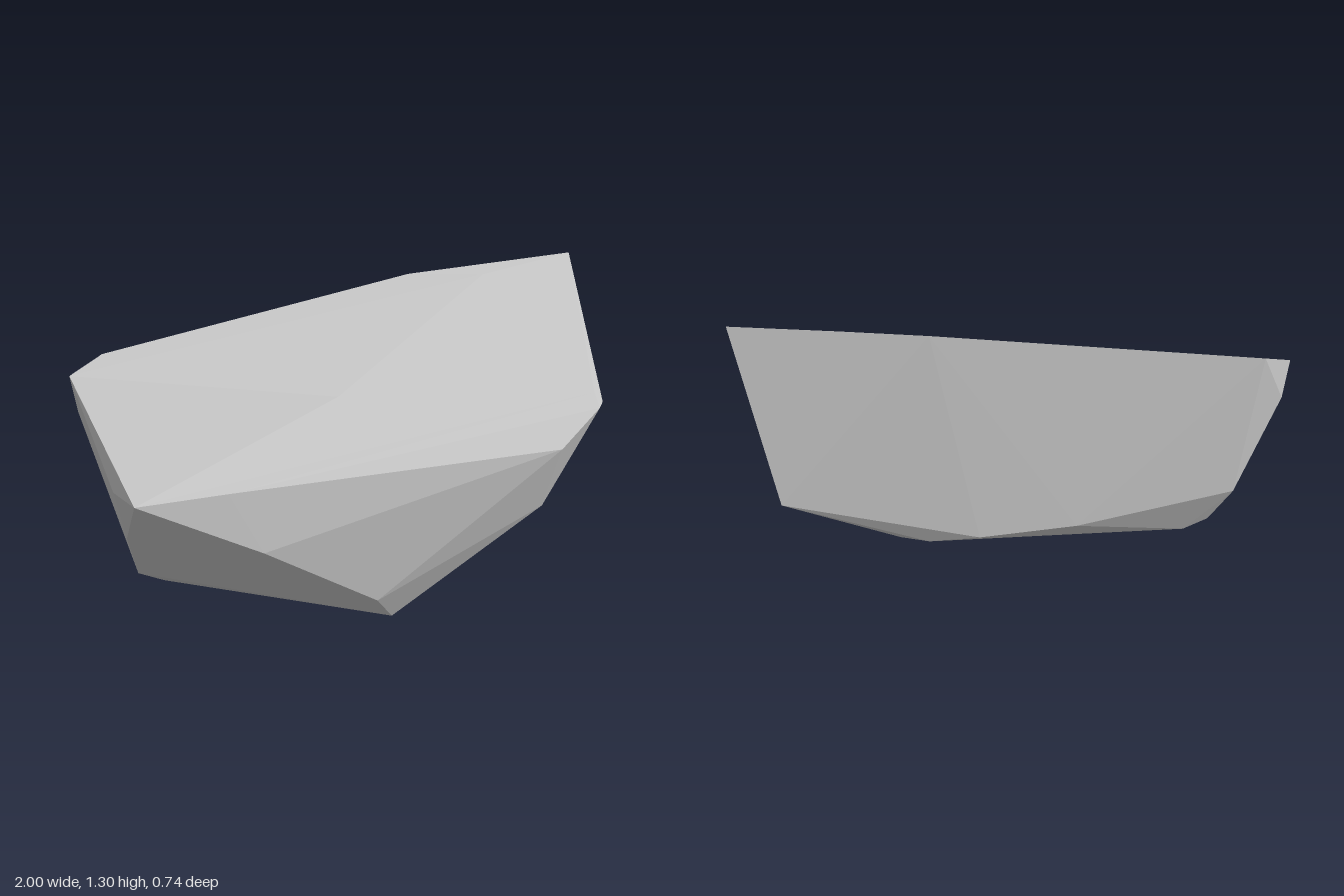
import * as THREE from 'three';
import { ConvexGeometry } from 'three/addons/geometries/ConvexGeometry.js';

export function createModel() {
  const group = new THREE.Group();
  group.name = 'rock';
  const stone = new THREE.MeshStandardMaterial({ color: 0xc4c4c4 });
  stone.name = 'pale grey stone';

  // Corners of the boulder, grouped by region
  const top = [
    [1.0, 1.3, -0.29], [0.985, 1.19, -0.24], [0.63, 1.22, -0.275],
    [0.35, 1.22, -0.37], [-0.87, 0.94, -0.35], [-1.0, 0.87, -0.28],
  ];
  const front = [
    [0.87, 0.825, 0.3], [0.9, 0.79, 0.31], [0.88, 0.77, 0.33],
    [0.72, 0.63, 0.37], [0.67, 0.41, 0.31], [-0.05, 0.81, 0.08],
    [0.17, 0.66, 0.26], [-0.49, 0.5, 0.23], [-0.82, 0.46, 0.19],
    [-0.37, 0.285, 0.27], [0.05, 0.08, 0.275],
  ];
  const leftSide = [
    [0.885, 0.555, -0.305], [0.88, 0.56, -0.09], [0.79, 0.45, 0.13],
    [0.64, 0.33, 0.155], [0.66, 0.34, -0.1],
  ];
  const rightSide = [[-0.97, 0.73, -0.31], [-0.88, 0.49, 0.06], [-0.83, 0.3, 0]];
  const back = [
    [-0.815, 0.325, -0.315], [-0.19, 0.29, -0.34], [0.18, 0.3, -0.335],
    [0.36, 0.275, -0.285], [0.45, 0.22, -0.17],
  ];
  const base = [
    [0.12, 0, 0.22], [0.19, 0.02, 0.15], [0.225, 0.045, 0.04],
    [-0.03, 0.025, 0.05], [-0.67, 0.075, -0.2], [-0.77, 0.11, -0.2],
  ];

  // Faceted skin stretched over the corners
  const points = [top, front, leftSide, rightSide, back, base]
    .flat().map((p) => new THREE.Vector3(...p));
  const boulder = new THREE.Mesh(new ConvexGeometry(points), stone);
  boulder.name = 'boulder';
  group.add(boulder);
  return group;
}
